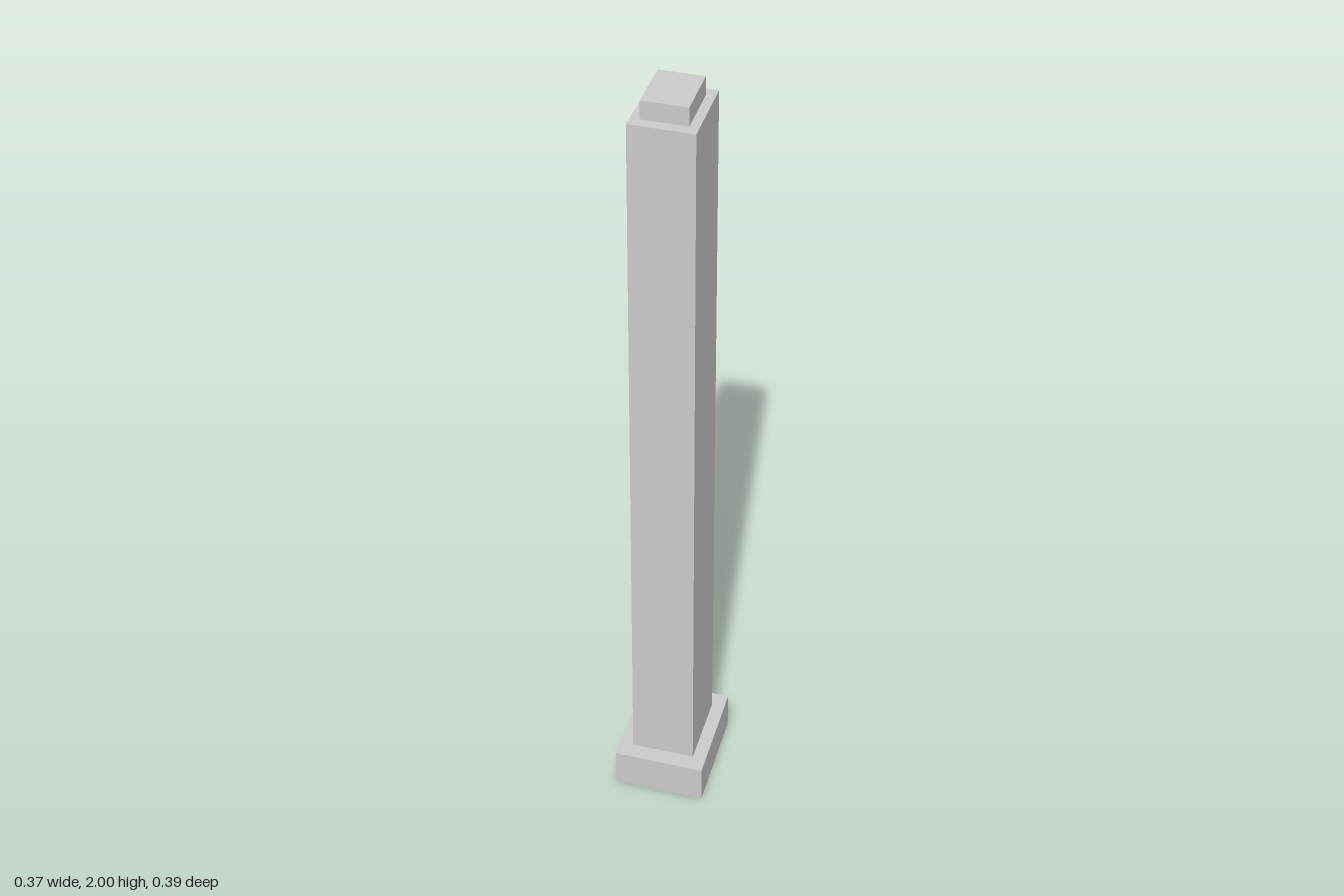
import * as THREE from 'three';

const material = new THREE.MeshStandardMaterial({ color: 0xcccccc, flatShading: true });

// Upright prism over a four-cornered plan, given as [x, z] corners
function prism(name, corners, bottom, top) {
  const plan = new THREE.Shape(corners.map(([x, z]) => new THREE.Vector2(x, -z)));
  const geometry = new THREE.ExtrudeGeometry(plan, { depth: top - bottom, bevelEnabled: false });
  geometry.rotateX(-Math.PI / 2).translate(0, bottom, 0);
  const mesh = new THREE.Mesh(geometry, material);
  mesh.name = name;
  return mesh;
}

export function createModel() {
  const pillar = new THREE.Group();
  pillar.name = 'pillar';

  // Wide plinth, slightly irregular in plan
  pillar.add(prism('base', [[0.012, -0.194], [0.182, -0.045], [-0.007, 0.192], [-0.183, 0.037]], 0, 0.098));
  // Tall shaft
  pillar.add(prism('shaft', [[0.008, -0.136], [0.128, -0.032], [-0.005, 0.133], [-0.128, 0.025]], 0.098, 1.952));
  // Small block on top
  pillar.add(prism('cap', [[0.005, -0.098], [0.091, -0.024], [-0.004, 0.094], [-0.091, 0.018]], 1.952, 2));

  return pillar;
}
